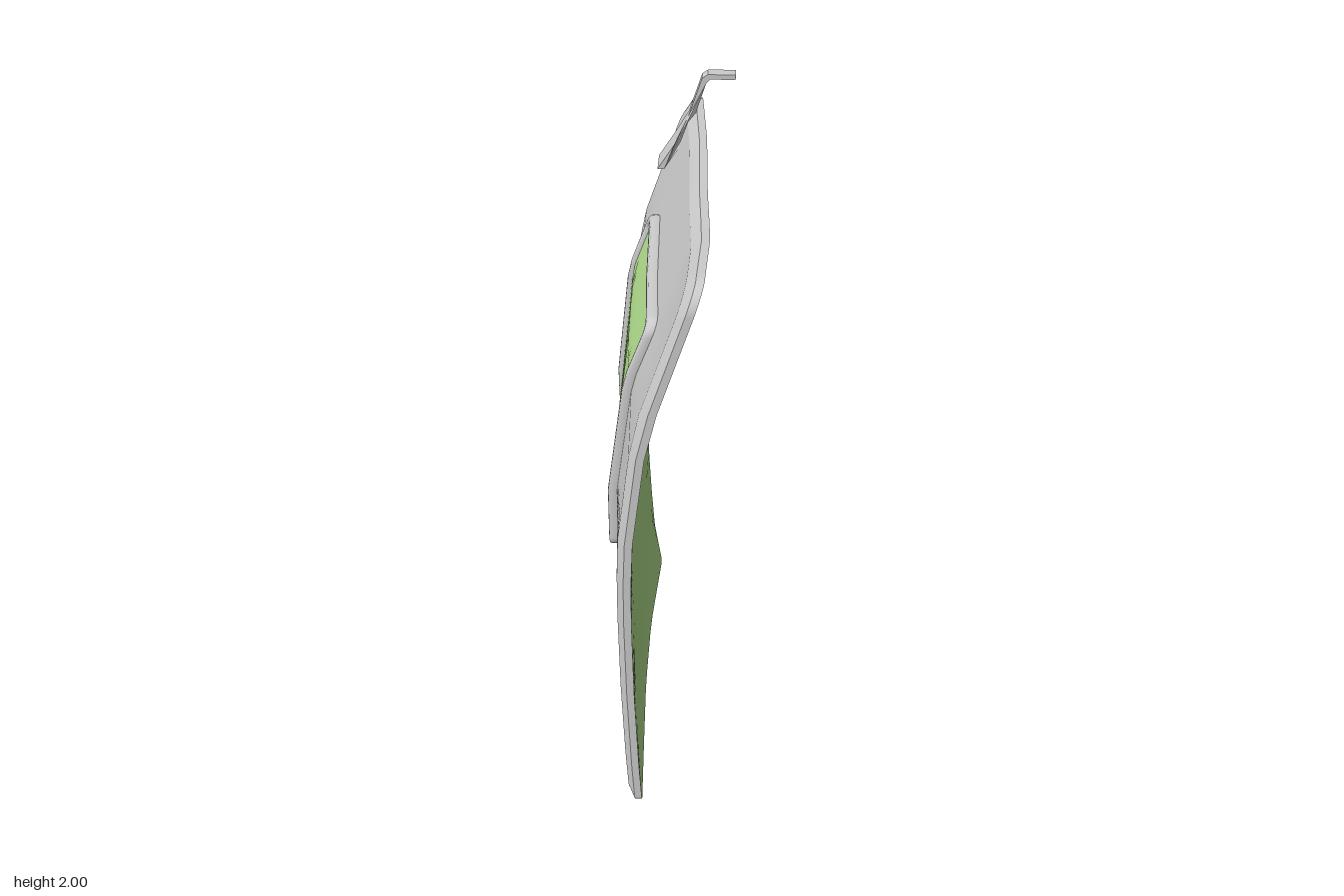
import * as THREE from 'three';

const grey = new THREE.MeshStandardMaterial({ color: 0xcccccc, side: THREE.DoubleSide });
const green = new THREE.MeshStandardMaterial({ color: 0xb0dc8c, side: THREE.DoubleSide });

// Curved inner skin: x at stations of height (rows) and depth (columns)
const zs = [-0.54, -0.2, 0.1, 0.36, 0.62];
const ys = [0, 0.2, 0.5, 0.85, 1.05, 1.43, 1.88];
const skin = [
  [-0.06, -0.08, -0.08, -0.07, -0.06],
  [-0.09, -0.095, -0.09, -0.085, -0.07],
  [-0.105, -0.105, -0.1, -0.095, -0.08],
  [-0.115, -0.11, -0.108, -0.1, -0.085],
  [-0.12, -0.115, -0.11, -0.1, -0.08],
  [-0.085, -0.075, -0.065, -0.05, -0.035],
  [0.065, 0.09, 0.1, 0.115, 0.105],
];
function station(list, v) {
  let i = 0;
  while (i < list.length - 2 && v > list[i + 1]) i++;
  return [i, THREE.MathUtils.clamp((v - list[i]) / (list[i + 1] - list[i]), 0, 1)];
}
function skinX(y, z) {
  const [i, t] = station(ys, y), [j, s] = station(zs, z), mix = THREE.MathUtils.lerp;
  return mix(mix(skin[i][j], skin[i][j + 1], s), mix(skin[i + 1][j], skin[i + 1][j + 1], s), t);
}

// Rounded rectangle as [z, y] points, anticlockwise seen from +x
function roundedLoop(z0, z1, y0, y1, rTop, rBottom, inset = 0, slant = 0) {
  z0 += inset; z1 -= inset; y0 += inset; y1 -= inset;
  const corners = [
    [z0, y0, 1, 1, rBottom], [z0, y1, 1, -1, rTop],
    [z1, y1, -1, -1, rTop], [z1, y0, -1, 1, rBottom],
  ].map(([z, y, sz, sy, r], c) => {
    const arc = [];
    for (let k = 0; k <= 6; k++) {
      const a = -Math.PI / 2 + (c + k / 6) * Math.PI / 2;
      arc.push([z + sz * r - r * Math.cos(a), y + sy * r + r * Math.sin(a)]);
    }
    return arc;
  });
  const loop = [];
  corners.forEach((arc, c) => {
    const a = arc[6], b = corners[(c + 1) % 4][0];
    loop.push(...arc);
    for (let k = 1; k < 12; k++) loop.push([a[0] + (b[0] - a[0]) * k / 12, a[1] + (b[1] - a[1]) * k / 12]);
  });
  return loop.map(([z, y]) => [z, y + slant * (z + 0.54) / 1.16 * (1 - y / 1.9)]);
}

// Skin stretched over rings of { loop, off }, where off is the x distance from the inner skin
function loft(name, rings, material, steps = 1) {
  const pos = [], index = [], n = rings[0].loop.length;
  let rows = 0;
  const addRow = (a, b, t) => {
    for (let j = 0; j < n; j++) {
      const z = THREE.MathUtils.lerp(a.loop[j][0], b.loop[j][0], t);
      const y = THREE.MathUtils.lerp(a.loop[j][1], b.loop[j][1], t);
      pos.push(skinX(y, z) + THREE.MathUtils.lerp(a.off, b.off, t), y, z);
    }
    rows++;
  };
  addRow(rings[0], rings[0], 0);
  for (let i = 1; i < rings.length; i++)
    for (let s = 1; s <= steps; s++) addRow(rings[i - 1], rings[i], s / steps);
  for (let i = 0; i < rows - 1; i++)
    for (let j = 0; j < n; j++) {
      const k = (j + 1) % n, a = i * n + j, b = i * n + k, c = a + n, d = b + n;
      index.push(a, c, d, a, d, b);
    }
  const geo = new THREE.BufferGeometry();
  geo.setAttribute('position', new THREE.Float32BufferAttribute(pos, 3));
  geo.setIndex(index);
  geo.computeVertexNormals();
  const mesh = new THREE.Mesh(geo, material);
  mesh.name = name;
  return mesh;
}

function extrudeMesh(name, points, depth) {
  const shape = new THREE.Shape(points.map(([a, b]) => new THREE.Vector2(a, b)));
  const mesh = new THREE.Mesh(new THREE.ExtrudeGeometry(shape, { depth, bevelEnabled: false }), grey);
  mesh.name = name;
  return mesh;
}

function moveVertices(geo, rule) {
  const p = geo.attributes.position, v = new THREE.Vector3();
  for (let i = 0; i < p.count; i++) {
    rule(v.fromBufferAttribute(p, i));
    p.setXYZ(i, v.x, v.y, v.z);
  }
  geo.computeVertexNormals();
}

export function createModel() {
  const model = new THREE.Group();
  model.name = 'curvedDoor';

  const outline = inset => roundedLoop(-0.54, 0.62, 0.003, 1.885, 0.08, 0.025, inset, 0.02);
  const opening = inset => roundedLoop(-0.27, 0.36, 0.832, 1.622, 0.045 - inset * 0.6, 0.045 - inset * 0.6, inset);
  const ring = (loop, off) => ({ loop, off });

  // Door panel: coloured lining, rim, bevel, outer skin and the wall of the opening
  const edge = outline(0), bevel = outline(0.03), hole = opening(0.003);
  model.add(
    loft('innerLining', [ring(hole, 0), ring(edge, 0)], green, 12),
    loft('panelRim', [ring(edge, 0), ring(edge, -0.022)], grey),
    loft('panelBevel', [ring(edge, -0.022), ring(bevel, -0.04)], grey),
    loft('outerSkin', [ring(bevel, -0.04), ring(hole, -0.04)], grey, 12),
    loft('openingWall', [ring(hole, -0.04), ring(hole, 0)], grey),
  );

  // Window frame: rounded bead standing proud of the outer skin
  const bead = [];
  for (let k = 0; k <= 12; k++) {
    const a = k / 12 * Math.PI * 2, soft = v => Math.sign(v) * Math.sqrt(Math.abs(v));
    bead.push(ring(opening(0.0125 + 0.0125 * soft(Math.cos(a))), -0.048 + 0.018 * soft(Math.sin(a))));
  }
  model.add(loft('windowFrame', bead, grey));

  // Window pane
  const paneEdge = opening(0.014);
  const centre = paneEdge.map(() => [0.045, 1.227]);
  model.add(loft('windowPane', [ring(centre, -0.052), ring(paneEdge, -0.052)], green, 10));

  // Top hook: bent strap with a widened foot
  const topHook = extrudeMesh('topHook', [
    [-0.06, 1.71], [-0.04, 1.71], [0.01, 1.79], [0.045, 1.86], [0.08, 1.972], [0.092, 1.985],
    [0.165, 1.985], [0.165, 2], [0.085, 2], [0.068, 1.988], [0.03, 1.87], [-0.01, 1.79],
  ], 0.036);
  moveVertices(topHook.geometry, v => {
    const wide = 1 + 1.5 * THREE.MathUtils.clamp((1.865 - v.y) / 0.075, 0, 1);
    v.z = -0.4 + (v.z - 0.018) * wide;
  });
  model.add(topHook);

  // Lower latch: upright strip with an arm reaching past the rear edge
  const latch = extrudeMesh('lowerLatch', [
    [0.36, 0.42], [0.36, 0.24], [0.375, 0.198], [0.42, 0.19], [0.54, 0.19], [0.62, 0.19],
    [0.62, 0.207], [0.54, 0.216], [0.42, 0.216], [0.4, 0.235], [0.39, 0.42],
  ].reverse(), 0.04);
  latch.geometry.rotateY(Math.PI / 2);
  moveVertices(latch.geometry, v => { v.x += skinX(v.y, v.z) - 0.052; });
  model.add(latch);

  return model;
}
